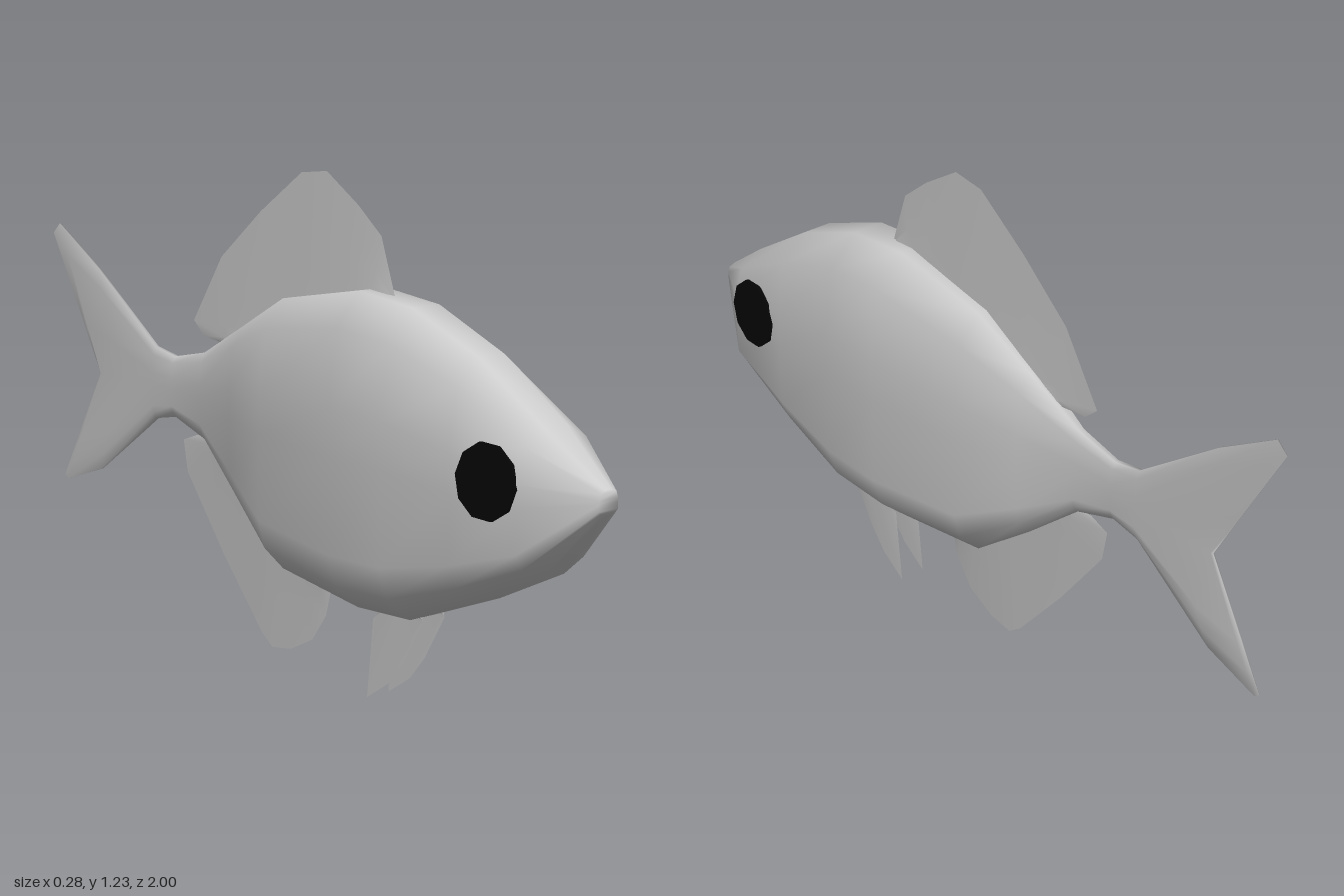
import * as THREE from 'three';

const skin = new THREE.MeshStandardMaterial({ color: 0xcccccc });
skin.name = 'grey skin';
skin.side = THREE.DoubleSide;
const black = new THREE.MeshStandardMaterial({ color: 0x050505 });
black.name = 'eye black';

function build(name, positions, index, material) {
  const geo = new THREE.BufferGeometry();
  geo.setAttribute('position', new THREE.Float32BufferAttribute(positions, 3));
  geo.setIndex(index);
  geo.computeVertexNormals();
  const mesh = new THREE.Mesh(geo, material);
  mesh.name = name;
  return mesh;
}

// Half cross-section from back to belly: [share of half width, share of height]
const half = [[0.3, 1], [0.82, 0.79], [1, 0.31], [1, 0], [1, -0.62], [0.82, -0.83], [0.3, -1]];

// Stations from nose to tail: [yTop, yMid, yBottom, halfWidth, zMid, zTop, zBottom]
const stations = [
  [0.62, 0.59, 0.565, 0.03, 1],
  [0.735, 0.57, 0.4, 0.118, 0.84],
  [0.865, 0.57, 0.305, 0.13, 0.64],
  [0.95, 0.59, 0.225, 0.14, 0.43],
  [0.97, 0.59, 0.22, 0.137, 0.25],
  [0.92, 0.6, 0.26, 0.11, -0.03],
  [0.83, 0.61, 0.39, 0.06, -0.2],
  [0.745, 0.63, 0.525, 0.024, -0.36],
  [0.72, 0.64, 0.565, 0.018, -0.48],
  [0.735, 0.64, 0.55, 0.015, -0.56],
  // the forked tail: top and bottom run further back than the notch
  [0.91, 0.638, 0.38, 0.01, -0.69, -0.8, -0.8],
  [1.012, 0.635, 0.33, 0.005, -0.795, -0.97, -0.95],
  [0.985, 0.635, 0.34, 0.001, -0.8, -1, -0.965],
];

function makeBody() {
  const pos = [], index = [], n = half.length * 2;
  for (const [top, mid, bottom, w, z, zTop = z, zBottom = z] of stations) {
    const point = (side, [u, v]) => pos.push(
      side * u * w,
      mid + (v > 0 ? top - mid : mid - bottom) * v,
      z + ((v > 0 ? zTop : zBottom) - z) * Math.abs(v));
    half.forEach((p) => point(1, p));
    [...half].reverse().forEach((p) => point(-1, p));
  }
  for (let i = 0; i < stations.length - 1; i++) {
    for (let j = 0; j < n; j++) {
      const a = i * n + j, b = i * n + (j + 1) % n;
      index.push(a, b, a + n, b, b + n, a + n);
    }
  }
  // close nose and tail edge with strips between the two sides
  const last = (stations.length - 1) * n;
  for (let j = 0; j < half.length - 1; j++) {
    const a = j, b = j + 1, c = n - 2 - j, d = n - 1 - j;
    index.push(a, d, c, a, c, b);
    index.push(last + a, last + c, last + d, last + a, last + b, last + c);
  }
  return build('body', pos, index, skin);
}

// Thin fin: an outline [z, y] tapering from a thick root line to a sharp rim
function makeFin(name, rim, rootStart, rootEnd, thick) {
  const group = new THREE.Group();
  group.name = name;
  const count = rim.length;
  for (const side of [1, -1]) {
    const pos = [], index = [];
    rim.forEach(([z, y], i) => {
      const t = i / (count - 1);
      const rz = rootStart[0] + (rootEnd[0] - rootStart[0]) * t;
      const ry = rootStart[1] + (rootEnd[1] - rootStart[1]) * t;
      pos.push(side * thick, ry, rz);
      pos.push(side * thick * 0.45, (ry + y) / 2, (rz + z) / 2);
      pos.push(0, y, z);
    });
    // the winding depends on the side and on whether the fin points up or down
    const middle = rim[Math.floor(count / 2)];
    const up = middle[1] > (rootStart[1] + rootEnd[1]) / 2;
    for (let i = 0; i < count - 1; i++) {
      for (let k = 0; k < 2; k++) {
        const a = i * 3 + k, b = a + 1, c = a + 3, d = a + 4;
        if ((side > 0) === up) index.push(a, c, b, b, c, d);
        else index.push(a, b, c, b, d, c);
      }
    }
    // outward faces: flip if the first normal points inward
    const mesh = build(name + (side > 0 ? 'Left' : 'Right'), pos, index, skin);
    const normals = mesh.geometry.attributes.normal;
    if (normals.getX(Math.floor(count / 2) * 3 + 1) * side < 0) {
      mesh.geometry.setIndex(index.reverse());
      mesh.geometry.computeVertexNormals();
    }
    group.add(mesh);
  }
  return group;
}

export function createModel() {
  const model = new THREE.Group();
  model.name = 'fish';
  model.add(makeBody());

  model.add(makeFin('dorsalFin',
    [[0.33, 0.95], [0.28, 1.095], [0.2, 1.16], [0.09, 1.23], [0, 1.22], [-0.15, 1.115],
      [-0.3, 0.99], [-0.41, 0.82], [-0.37, 0.785], [-0.29, 0.775]],
    [0.32, 0.95], [-0.27, 0.78], 0.011));

  model.add(makeFin('analFin',
    [[0.11, 0.235], [0.09, 0.16], [0.04, 0.09], [-0.04, 0.05], [-0.11, 0.04], [-0.15, 0.07],
      [-0.3, 0.245], [-0.44, 0.43], [-0.455, 0.51], [-0.4, 0.53], [-0.34, 0.53]],
    [0.1, 0.25], [-0.33, 0.53], 0.011));

  for (const side of [1, -1]) {
    const label = side > 0 ? 'left' : 'right';
    // pelvic fins hang below the belly
    const pelvic = makeFin(label + 'PelvicFin',
      [[0.465, 0.225], [0.4, 0.115], [0.35, 0.055], [0.275, 0.005], [0.285, 0.1], [0.295, 0.2], [0.33, 0.225]],
      [0.46, 0.235], [0.32, 0.235], 0.003);
    pelvic.position.x = side * 0.034;
    model.add(pelvic);

    // flat round eye lying on the cheek
    const eye = new THREE.Mesh(new THREE.CylinderGeometry(0.088, 0.088, 0.009, 10), black);
    eye.name = label + 'Eye';
    eye.position.set(side * 0.125, 0.615, 0.755);
    eye.quaternion.setFromUnitVectors(
      new THREE.Vector3(0, 1, 0), new THREE.Vector3(side, 0.06, 0.06).normalize());
    model.add(eye);
  }
  return model;
}
